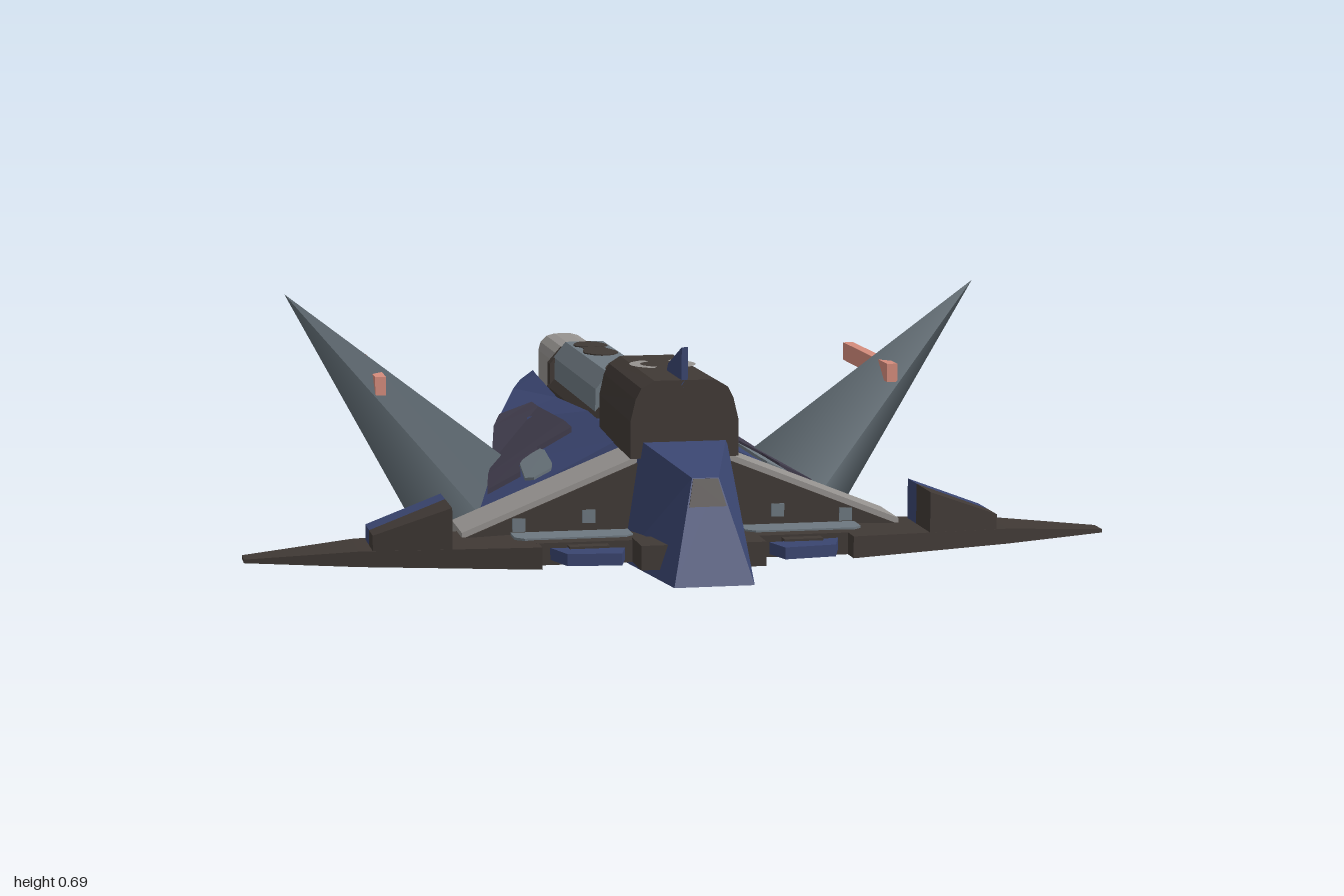
import * as THREE from 'three';

const mat = (name, color, side = THREE.FrontSide) => {
  const m = new THREE.MeshStandardMaterial({ color, side });
  m.name = name;
  return m;
};

// Flat-faced solid through a list of equal-length loops of [x, y, z], capped at both ends
function loft(loops) {
  const pos = [];
  const tri = (a, b, c) => pos.push(...a, ...b, ...c);
  const n = loops[0].length;
  for (let s = 0; s < loops.length - 1; s++) {
    for (let i = 0; i < n; i++) {
      const j = (i + 1) % n, A = loops[s], B = loops[s + 1];
      tri(A[i], A[j], B[j]);
      tri(A[i], B[j], B[i]);
    }
  }
  const last = loops[loops.length - 1];
  for (let i = 1; i < n - 1; i++) {
    tri(loops[0][0], loops[0][i + 1], loops[0][i]);
    tri(last[0], last[i], last[i + 1]);
  }
  // Turn the faces outward if the enclosed volume comes out negative
  let volume = 0;
  const a = new THREE.Vector3(), b = new THREE.Vector3(), c = new THREE.Vector3();
  for (let i = 0; i < pos.length; i += 9) {
    a.fromArray(pos, i); b.fromArray(pos, i + 3); c.fromArray(pos, i + 6);
    volume += a.dot(b.cross(c));
  }
  const g = new THREE.BufferGeometry();
  g.setAttribute('position', new THREE.Float32BufferAttribute(pos, 3));
  if (volume < 0) flip(g);
  g.computeVertexNormals();
  return g;
}

function flip(g) {
  for (const att of Object.values(g.attributes)) {
    const s = att.itemSize, d = att.array;
    for (let i = 0; i < d.length; i += 3 * s) {
      for (let k = 0; k < s; k++) [d[i + s + k], d[i + 2 * s + k]] = [d[i + 2 * s + k], d[i + s + k]];
    }
  }
}

function mirrored(geo) {
  const g = geo.index ? geo.toNonIndexed() : geo.clone();
  g.applyMatrix4(new THREE.Matrix4().makeScale(-1, 1, 1));
  flip(g);
  return g;
}

const box = (x0, x1, y0, y1, z0, z1) =>
  new THREE.BoxGeometry(x1 - x0, y1 - y0, z1 - z0).translate((x0 + x1) / 2, (y0 + y1) / 2, (z0 + z1) / 2);
// Outline in x, z between two heights
const slab = (pts, y0, y1) => loft([y0, y1].map(y => pts.map(([x, z]) => [x, y, z])));
// Symmetric section in x, y drawn from its right half, swept along z
const hullLoop = (half, z, k = 1) => [...half, ...half.map(([x, y]) => [-x, y]).reverse()].map(([x, y]) => [x * k, y, z]);
const sweep = (half, z0, z1, k0 = 1, k1 = 1) => loft([hullLoop(half, z0, k0), hullLoop(half, z1, k1)]);
const ellipse = (cx, cz, rx, rz, n = 14) =>
  Array.from({ length: n }, (_, i) => {
    const t = (i / n) * Math.PI * 2, w = 1 + 0.12 * Math.sin(3 * t);
    return [cx + rx * w * Math.cos(t), cz + rz * Math.sin(t)];
  });
// Right half of a tall section with rounded corners, from bottom to top
const roundHalf = (hw, y0, y1, r) => [-90, -60, -30, 0, 0, 30, 60, 90].map((deg, i) => {
  const t = deg * Math.PI / 180;
  return [hw - r + r * Math.cos(t), (i < 4 ? y0 + r : y1 - r) + r * Math.sin(t)];
});

// Rear wing stations: z, outer x, inner top y, outer top y, inner bottom y
const wing = [
  [0.42, 0.44, 0.38, 0.21, 0.17], [0, 0.34, 0.385, 0.255, 0.19],
  [-0.45, 0.262, 0.355, 0.3, 0.23], [-0.78, 0.168, 0.37, 0.335, 0.28], [-0.84, 0.14, 0.375, 0.35, 0.32],
];
function wingTop(x, z) {
  let i = 0;
  while (i < wing.length - 2 && z < wing[i + 1][0]) i++;
  const t = (wing[i][0] - z) / (wing[i][0] - wing[i + 1][0]);
  const [, xo, yi, yo] = wing[i].map((v, k) => v + (wing[i + 1][k] - v) * t);
  return yi + (yo - yi) * (x - 0.105) / (xo - 0.105);
}
// Plate lying on the rear wing, from rows of [z, inner x, outer x]
const wingPlate = (rows, up, down) => loft(rows.map(([z, a, b]) => [
  [a, wingTop(a, z) + up, z], [b, wingTop(b, z) + up, z], [b, wingTop(b, z) - down, z], [a, wingTop(a, z) - down, z]]));

export function createModel() {
  const root = new THREE.Group();
  root.name = 'fighterCraft';
  const blue = mat('navy blue', 0x3a4570), dark = mat('dark brown', 0x403935);
  const plum = mat('dusk purple', 0x403c4c), slate = mat('slate grey', 0x6d7880);
  const pale = mat('pale grey', 0x95928f, THREE.DoubleSide), steel = mat('steel grey', 0x636f77);
  const salmon = mat('salmon', 0xd58c7c);

  const add = (name, geo, m) => {
    const mesh = new THREE.Mesh(geo, m);
    mesh.name = name;
    root.add(mesh);
  };
  const pair = (name, geo, m) => {
    add(name + 'Left', geo, m);
    add(name + 'Right', mirrored(geo), m);
  };

  // Nose, its dark brow plate and the keel plate
  add('nose', loft([
    [[-0.09, 0.135, 0.98], [0.09, 0.135, 0.98], [0.03, 0.36, 0.88], [-0.03, 0.36, 0.88]],
    [[-0.142, 0.135, 0.64], [0.142, 0.135, 0.64], [0.1, 0.41, 0.64], [-0.1, 0.41, 0.64]]]), blue);
  add('noseBrow', loft([0.876, 0.883].map(z =>
    [[-0.028, 0.358, z], [0.028, 0.358, z], [0.042, 0.3, z + 0.026], [-0.042, 0.3, z + 0.026]])), dark);
  add('keel', slab([[-0.142, 0.64], [0.142, 0.64], [0.19, 0.34], [-0.19, 0.34]], 0.135, 0.165), blue);
  add('keelRing', new THREE.RingGeometry(0.075, 0.135, 28).rotateX(Math.PI / 2).translate(0, 0.131, 0.53), pale);

  // Central body and canopy
  add('midBody', box(-0.1, 0.1, 0.16, 0.39, 0.2, 0.64), dark);
  add('rearDeck', box(-0.108, 0.108, 0.2, 0.38, 0.1, 0.42), blue);
  add('deckSlot', box(-0.022, 0.022, 0.375, 0.385, 0.1, 0.22), dark);
  add('canopy', sweep([[0.125, 0.37], [0.125, 0.455], [0.113, 0.505], [0.1, 0.53], [0.07, 0.547]], 0.655, 0.21, 1, 0.92), dark);
  for (const start of [-0.36, 0.64]) {
    add('canopyArc', new THREE.RingGeometry(0.052, 0.078, 12, 1, start * Math.PI, 0.72 * Math.PI)
      .rotateX(-Math.PI / 2).translate(0, 0.551, 0.4), pale);
  }
  add('topFin', loft([-0.007, 0.007].map(x => [[x, 0.53, 0.655], [x, 0.622, 0.655], [x, 0.565, 0.5], [x, 0.54, 0.48]])), blue);

  // Barrel housing, cover and open barrel
  add('housing', sweep([[0.1, 0.22], [0.1, 0.36], [0.075, 0.39]], 0.12, -0.64), dark);
  add('housingBelly', sweep([[0.07, 0.15], [0.1, 0.19], [0.1, 0.22]], 0.34, -0.64), plum);
  add('housingCollar', sweep([[0.07, 0.15], [0.095, 0.19], [0.095, 0.42], [0.06, 0.46]], -0.62, -0.66), dark);
  add('barrelCover', sweep([[0.084, 0.37], [0.082, 0.435], [0.05, 0.475]], -0.02, -0.64), slate);
  add('barrelBreech', sweep([[0.065, 0.37], [0.065, 0.425], [0.035, 0.458]], 0.1, -0.02), pale);
  for (const [z, rz] of [[-0.56, 0.06], [-0.42, 0.08], [-0.1, 0.07]]) {
    add('coverPatch', slab(ellipse(0, z, 0.043, rz), 0.47, 0.478), dark);
  }
  add('coverPatchLink', box(-0.03, 0.03, 0.47, 0.477, -0.55, -0.45), dark);
  const ring = (...size) => hullLoop(roundHalf(...size), 0).map(([x, y]) => new THREE.Vector2(x, y));
  const bore = new THREE.Shape(ring(0.066, 0.17, 0.455, 0.045));
  bore.holes.push(new THREE.Path(ring(0.05, 0.187, 0.438, 0.034)));
  add('barrel', new THREE.ExtrudeGeometry(bore, { depth: 0.36, bevelEnabled: false }).translate(0, 0, -0.985), pale);
  add('barrelInside', sweep(roundHalf(0.053, 0.184, 0.441, 0.036), -0.96, -0.94), dark);
  pair('barrelSidePatch', box(0.062, 0.069, 0.215, 0.285, -0.7, -0.65), slate);

  // Rear wings with raised armour and stripe
  pair('rearWing', loft(wing.map(([z, xo, yi, yo, yb]) =>
    [[0.105, yi, z], [xo, yo, z], [xo, yo - 0.03, z], [0.105, yb, z]])), blue);
  pair('wingArmour', wingPlate([[-0.46, 0.17, 0.255], [-0.36, 0.17, 0.285], [0, 0.165, 0.345], [0.11, 0.165, 0.37]], 0.012, 0.02), plum);
  pair('wingArmourTip', wingPlate([[0.11, 0.25, 0.37], [0.14, 0.3, 0.375], [0.265, 0.315, 0.395]], 0.012, 0.02), plum);
  pair('wingStripe', wingPlate([[0.12, 0.245, 0.285], [0.16, 0.24, 0.3], [0.33, 0.25, 0.315], [0.37, 0.26, 0.3]], 0.006, 0.002), slate);

  // Pale sloping shoulder blocks with a dark front face
  const shoulder = (z0, z1, d) => loft([z0, z1].map(z =>
    [[0.1, 0.375 - d, z], [0.509, 0.21 - d, z], [0.509, 0.16, z], [0.1, 0.16, z]]));
  pair('shoulder', shoulder(0.48, 0.638, 0), pale);
  pair('shoulderStep', shoulder(0.42, 0.48, 0.012), pale);
  pair('shoulderFront', shoulder(0.637, 0.645, 0.014), dark);
  for (const [x, y] of [[0.22, 0.24], [0.38, 0.225]]) {
    pair('shoulderPatch', box(x - 0.015, x + 0.015, y - 0.015, y + 0.015, 0.642, 0.649), slate);
  }

  // Flat front wings
  pair('wingRoot', box(0.1, 0.36, 0.155, 0.205, 0.555, 0.77), dark);
  pair('wingRootSpur', box(0.08, 0.142, 0.155, 0.21, 0.76, 0.87), dark);
  pair('frontWing', loft([[0.355, 0.82, 0.555, 0.155, 0.205], [0.75, 0.713, 0.555, 0.155, 0.19], [1, 0.645, 0.59, 0.16, 0.168]]
    .map(([x, zf, zr, y0, y1]) => [[x, y0, zf], [x, y1, zf], [x, y1, zr], [x, y0, zr]])), dark);
  pair('frontWingPatch', slab([[0.13, 0.65], [0.4, 0.65], [0.4, 0.71], [0.38, 0.73], [0.15, 0.73], [0.13, 0.71]], 0.203, 0.209), slate);

  // Wedge pods on the front wings, blue at the rear, following the leading edge
  const pod = (z0, zIn, zOut) => loft([[z0, z0], [zIn, zOut]].map(([a, b]) =>
    [[0.548, 0.17, a], [0.548, 0.291, a], [0.72, 0.226, b], [0.72, 0.17, b]]));
  pair('wingPod', pod(0.65, 0.767, 0.72), dark);
  pair('wingPodTail', pod(0.575, 0.65, 0.65), blue);

  // Canards
  pair('canard', slab([[0.165, 0.8], [0.33, 0.775], [0.305, 0.855], [0.185, 0.87]], 0.168, 0.195), blue);
  pair('canardMount', box(0.2, 0.29, 0.165, 0.2, 0.76, 0.8), dark);

  // Three-sided spikes
  const apex = new THREE.Vector3(0.85, 0.695, 0.06), base = new THREE.Vector3(0.353, 0.108, 0.062);
  const up = apex.clone().sub(base), height = up.length();
  up.normalize();
  const out = new THREE.Vector3(0.127, -0.104, -0.092);
  out.addScaledVector(up, -out.dot(up)).normalize();
  const spike = new THREE.ConeGeometry(0.186, height, 3).translate(0, height / 2, 0)
    .applyMatrix4(new THREE.Matrix4().makeBasis(up.clone().cross(out), up, out).setPosition(base));
  pair('spike', spike, steel);

  // Side bars passing through the spikes
  pair('sideBar', box(0.617, 0.643, 0.455, 0.5, -0.3, 0.13), salmon);
  return root;
}
